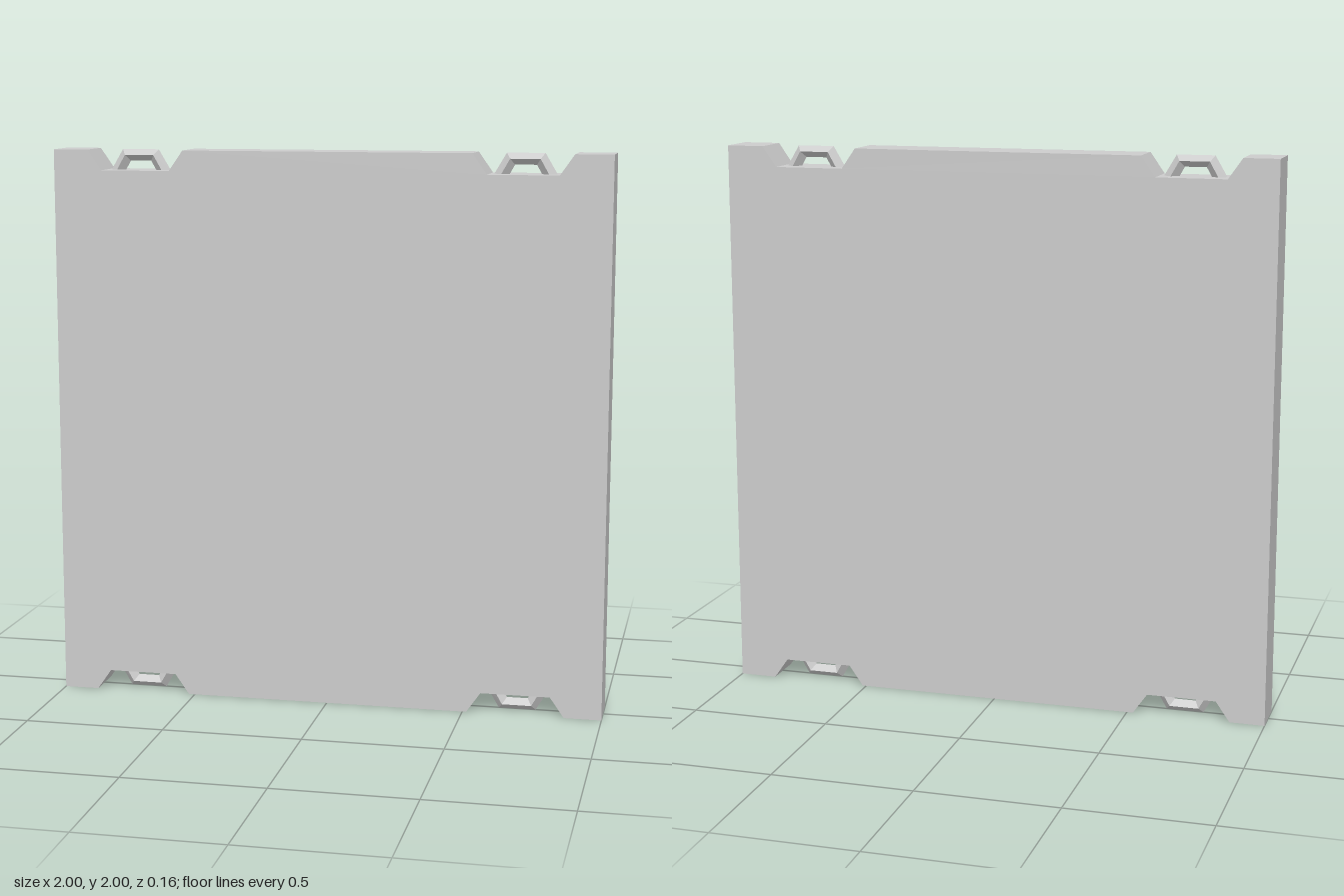
import * as THREE from 'three';

const DEPTH = 0.155;
const NOTCH = 0.073;
const CENTRES = [-0.698, 0.69];
const material = new THREE.MeshStandardMaterial({ color: 0xcccccc, flatShading: true, side: THREE.DoubleSide });

// Square slab with trapezoid notches in its top and bottom edges
function makePanel() {
  const shape = new THREE.Shape();
  const notch = (x, edge, floor, dir) => {
    shape.lineTo(x - dir * 0.176, edge);
    shape.lineTo(x - dir * 0.125, floor);
    shape.lineTo(x + dir * 0.125, floor);
    shape.lineTo(x + dir * 0.176, edge);
  };
  shape.moveTo(-1, 0);
  CENTRES.forEach((x) => notch(x, 0, NOTCH, 1));
  shape.lineTo(1, 0);
  shape.lineTo(1, 2);
  [...CENTRES].reverse().forEach((x) => notch(x, 2, 2 - NOTCH, -1));
  shape.lineTo(-1, 2);
  shape.closePath();
  const geometry = new THREE.ExtrudeGeometry(shape, { depth: DEPTH, bevelEnabled: false });
  geometry.translate(0, 0, -DEPTH / 2);
  const panel = new THREE.Mesh(geometry, material);
  panel.name = 'panel';
  return panel;
}

// Handle bar: a diamond section swept along foot, corner, corner, foot
function makeHandleGeometry() {
  // each ring corner: foot x, top x, top y, z (outer, front, inner, back)
  const corners = [
    [0.11, 0.067, NOTCH, 0],
    [0.083, 0.053, 0.053, 0.025],
    [0.056, 0.038, 0.032, 0],
    [0.083, 0.053, 0.053, -0.025],
  ];
  const positions = [];
  const index = [];
  for (let i = 0; i < 4; i++) {
    const side = i < 2 ? -1 : 1;
    const foot = i === 0 || i === 3;
    for (const [footX, topX, topY, z] of corners) {
      positions.push(side * (foot ? footX : topX), foot ? 0 : topY, z);
    }
  }
  for (let i = 0; i < 3; i++) {
    for (let j = 0; j < 4; j++) {
      const a = i * 4 + j;
      const b = i * 4 + ((j + 1) % 4);
      index.push(a, b, a + 4, b, b + 4, a + 4);
    }
  }
  const geometry = new THREE.BufferGeometry();
  geometry.setAttribute('position', new THREE.Float32BufferAttribute(positions, 3));
  geometry.setIndex(index);
  const flat = geometry.toNonIndexed();
  flat.computeVertexNormals();
  return flat;
}

export function createModel() {
  const model = new THREE.Group();
  model.name = 'notchedPanel';
  model.add(makePanel());

  // One handle in every notch, the lower ones turned upside down
  const geometry = makeHandleGeometry();
  for (const x of CENTRES) {
    for (const upper of [true, false]) {
      const handle = new THREE.Mesh(geometry, material);
      handle.name = `${upper ? 'upper' : 'lower'}${x > 0 ? 'Left' : 'Right'}Handle`;
      handle.position.set(x, upper ? 2 - NOTCH : NOTCH, 0);
      if (!upper) handle.rotation.z = Math.PI;
      model.add(handle);
    }
  }
  return model;
}
